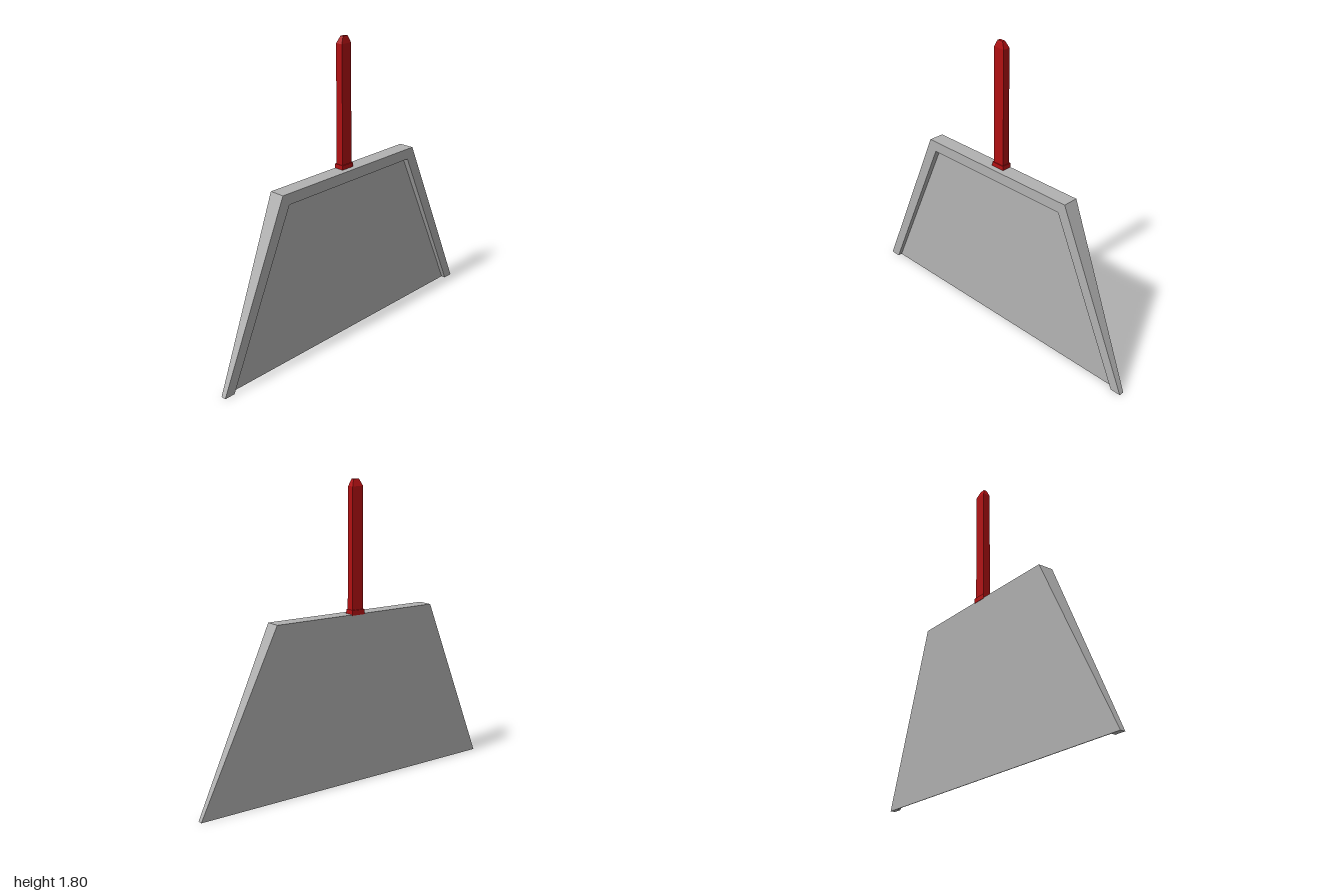
import * as THREE from 'three';

// Flat-shaded mesh from four-cornered faces
function quadMesh(name, quads, material) {
  const pos = [];
  for (const [a, b, c, d] of quads) pos.push(...a, ...b, ...c, ...a, ...c, ...d);
  const geo = new THREE.BufferGeometry();
  geo.setAttribute('position', new THREE.Float32BufferAttribute(pos, 3));
  geo.computeVertexNormals();
  const mesh = new THREE.Mesh(geo, material);
  mesh.name = name;
  return mesh;
}

// Quads joining two four-point loops, starting at a given edge
function band(a, c, first = 0) {
  const quads = [];
  for (let i = first; i < 4; i++) {
    const j = (i + 1) % 4;
    quads.push([a[i], a[j], c[j], c[i]]);
  }
  return quads;
}

// Stacked rectangular sections [y, xMin, xMax, halfDepth], capped at both ends
function stack(name, sections, material) {
  const rings = sections.map(([y, x0, x1, z]) => [[x0, y, z], [x1, y, z], [x1, y, -z], [x0, y, -z]]);
  const quads = [[...rings[0]].reverse(), rings[rings.length - 1]];
  for (let i = 1; i < rings.length; i++) quads.push(...band(rings[i - 1], rings[i]));
  return quadMesh(name, quads, material);
}

// Trapezoid loop across z, with its own x at the bottom and top
const trapezoid = (xBottom, zBottom, xTop, yTop, zTop) => [
  [xBottom, 0, zBottom], [xBottom, 0, -zBottom], [xTop, yTop, -zTop], [xTop, yTop, zTop],
];

export function createModel() {
  const metal = new THREE.MeshStandardMaterial({ color: 0xb2b2b2 });
  metal.name = 'grey pan';
  const red = new THREE.MeshStandardMaterial({ color: 0xb01012 });
  red.name = 'red handle';

  const group = new THREE.Group();
  group.name = 'dustpan';

  // Wedge-shaped pan with a shallow recess open at the bottom edge
  const back = trapezoid(0.015, 1, -0.048, 1.04, 0.54);
  const front = trapezoid(0.046, 1, 0.046, 1.04, 0.54);
  const lip = trapezoid(0.046, 0.935, 0.046, 0.975, 0.495);
  const floor = trapezoid(0.02, 0.935, 0.01, 0.975, 0.495);
  group.add(quadMesh('pan', [
    ...band(back, front, 1),
    ...band(front, lip, 1),
    ...band(lip, floor, 1),
    floor,
    [...back].reverse(),
    // U-shaped bottom edge
    [back[0], back[1], floor[1], floor[0]],
    [back[0], floor[0], lip[0], front[0]],
    [floor[1], back[1], front[1], lip[1]],
  ], metal));

  // Collar and tapering handle with a chamfered tip
  group.add(stack('handleCollar', [
    [1.035, -0.05, 0.012, 0.044],
    [1.065, -0.05, 0.01, 0.042],
  ], red));
  group.add(stack('handle', [
    [1.05, -0.043, 0.005, 0.037],
    [1.76, -0.043, 0, 0.036],
    [1.79, -0.031, -0.006, 0.023],
    [1.8, -0.027, -0.009, 0.018],
  ], red));

  return group;
}
